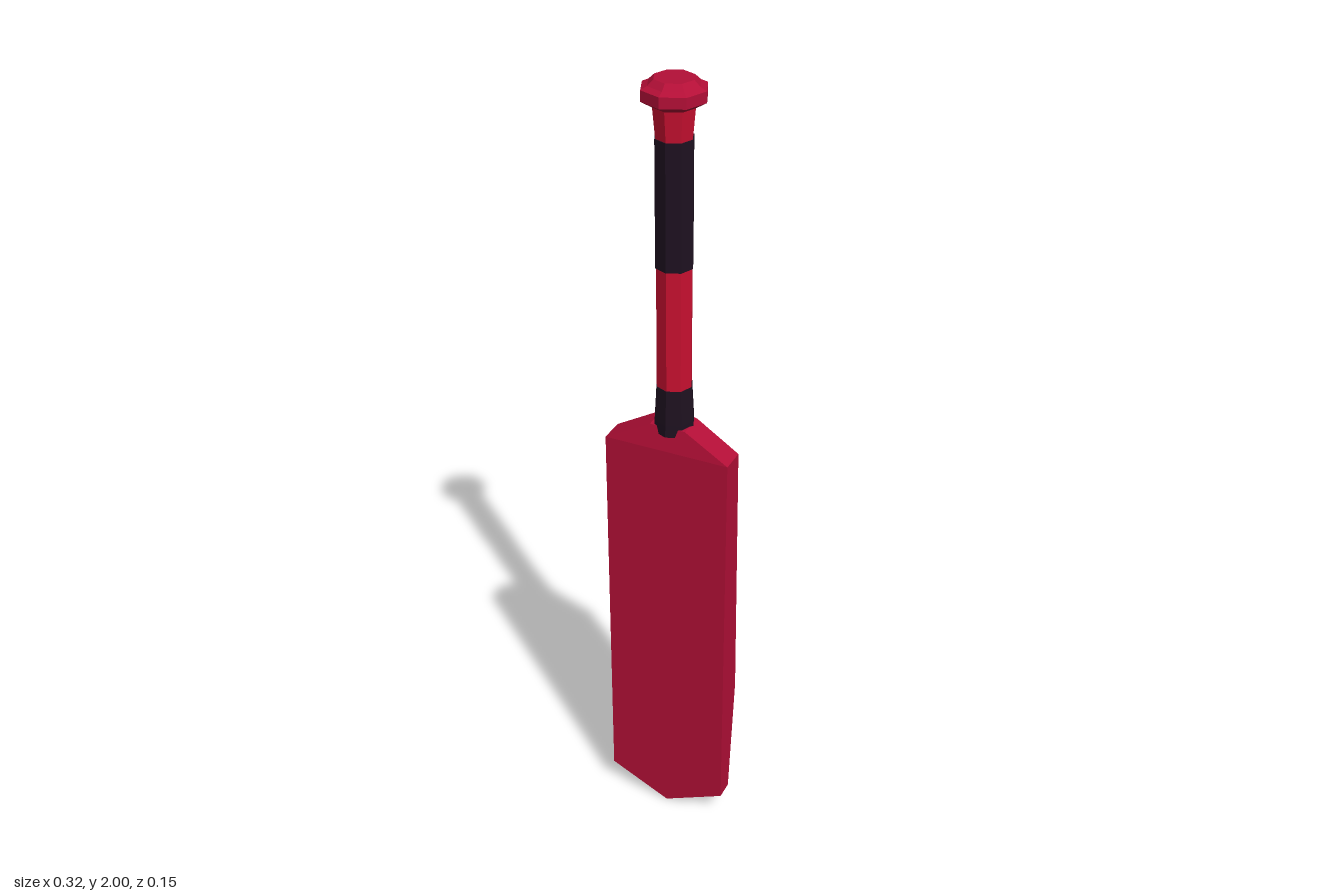
import * as THREE from 'three';

const paint = (color) => new THREE.MeshStandardMaterial({ color, flatShading: true });

// One six-sided blade section: flat face in front, ridged spine behind
function section({ w, sideY, frontY, backY, front, side, spine }) {
  return [
    [-w, sideY, front], [0, frontY, front], [w, sideY, front],
    [w, sideY, side], [0, backY, spine], [-w, sideY, side],
  ];
}

// Skins a stack of sections and closes both ends
function loft(rings) {
  const n = rings[0].length;
  const index = [];
  for (let r = 0; r < rings.length - 1; r++) {
    for (let i = 0; i < n; i++) {
      const a = r * n + i, b = r * n + (i + 1) % n;
      index.push(a, b, b + n, a, b + n, a + n);
    }
  }
  // Each end is two quads meeting at the centre line
  const t = (rings.length - 1) * n;
  index.push(0, 4, 1, 0, 5, 4, 1, 4, 2, 2, 4, 3);
  index.push(t, t + 1, t + 4, t, t + 4, t + 5, t + 1, t + 2, t + 4, t + 2, t + 3, t + 4);
  const geometry = new THREE.BufferGeometry();
  geometry.setAttribute('position', new THREE.Float32BufferAttribute(rings.flat(2), 3));
  geometry.setIndex(index);
  geometry.computeVertexNormals();
  return geometry;
}

export function createModel() {
  const bat = new THREE.Group();
  bat.name = 'cricketBat';

  const bladeRed = paint(0xb40f37);
  const handleRed = paint(0xc81030);
  const gripDark = paint(0x1e1120);

  const add = (name, geometry, material) => {
    const mesh = new THREE.Mesh(geometry, material);
    mesh.name = name;
    bat.add(mesh);
  };

  // Blade: pointed toe, swell, shoulder line, narrow top
  add('blade', loft([
    section({ w: 0.158, sideY: 0.075, frontY: 0, backY: 0.02, front: 0.048, side: 0, spine: -0.036 }),
    section({ w: 0.158, sideY: 0.4, frontY: 0.4, backY: 0.4, front: 0.048, side: -0.032, spine: -0.06 }),
    section({ w: 0.158, sideY: 1.11, frontY: 1.11, backY: 1.11, front: 0.048, side: -0.016, spine: -0.047 }),
    section({ w: 0.045, sideY: 1.17, frontY: 1.17, backY: 1.17, front: 0.038, side: -0.03, spine: -0.044 }),
  ]), bladeRed);

  // Eight-sided handle parts, each turned from [radius, height] points
  const turned = (name, profile, material) => add(
    name,
    new THREE.LatheGeometry(profile.map(([r, y]) => new THREE.Vector2(r, y)), 8),
    material,
  );
  turned('collar', [[0, 1.15], [0.05, 1.15], [0.049, 1.18], [0.044, 1.27], [0, 1.27]], gripDark);
  turned('handle', [[0.043, 1.27], [0.043, 1.57]], handleRed);
  turned('grip', [[0, 1.57], [0.045, 1.57], [0.045, 1.87], [0, 1.87]], gripDark);
  turned('neck', [[0.043, 1.87], [0.05, 1.945]], handleRed);
  turned('pommel', [
    [0, 1.94], [0.05, 1.94], [0.075, 1.955], [0.075, 1.98], [0.06, 1.987], [0.046, 2], [0, 2],
  ], bladeRed);

  return bat;
}
